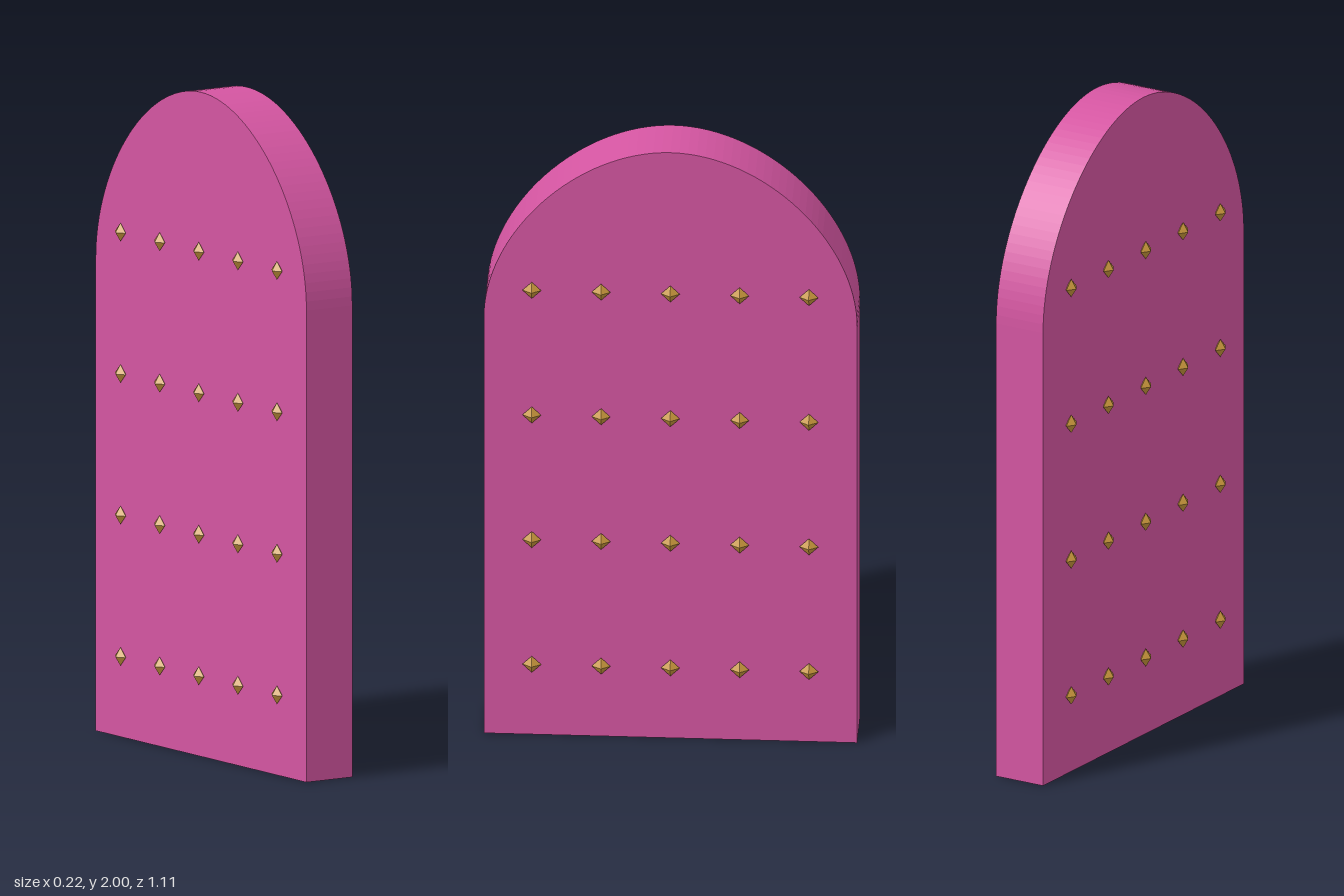
import * as THREE from 'three';

const HALF_WIDTH = 0.555, THICKNESS = 0.165, SPRING = 1.42, TOP = 2;

export function createModel() {
  const model = new THREE.Group();
  model.name = 'studdedDoor';
  const pink = new THREE.MeshStandardMaterial({ name: 'pink', color: 0xd455a1 });
  const gold = new THREE.MeshStandardMaterial({ name: 'gold', color: 0xc8963c });

  // Arched slab, its broad faces looking along x
  const w = HALF_WIDTH, rise = TOP - SPRING, k = 0.5;
  const outline = new THREE.Shape();
  outline.moveTo(-w, 0);
  outline.lineTo(w, 0);
  outline.lineTo(w, SPRING);
  outline.bezierCurveTo(w, SPRING + k * rise, k * w, TOP, 0, TOP);
  outline.bezierCurveTo(-k * w, TOP, -w, SPRING + k * rise, -w, SPRING);
  outline.closePath();
  const slabGeometry = new THREE.ExtrudeGeometry(outline, {
    depth: THICKNESS, bevelEnabled: false, curveSegments: 32,
  });
  slabGeometry.translate(0, 0, -THICKNESS / 2).rotateY(Math.PI / 2);
  const slab = new THREE.Mesh(slabGeometry, pink);
  slab.name = 'doorSlab';
  model.add(slab);

  // Rows of faceted studs on both faces
  const studGeometry = new THREE.OctahedronGeometry(1).scale(0.018, 0.028, 0.028);
  for (const side of [-1, 1]) {
    const studs = new THREE.Group();
    studs.name = side > 0 ? 'leftStuds' : 'rightStuds';
    for (let row = 0; row < 4; row++) {
      for (let col = -2; col <= 2; col++) {
        const stud = new THREE.Mesh(studGeometry, gold);
        stud.name = 'stud';
        stud.position.set(side * 0.091, 0.244 + row * 0.426, col * 0.206);
        studs.add(stud);
      }
    }
    model.add(studs);
  }
  return model;
}
